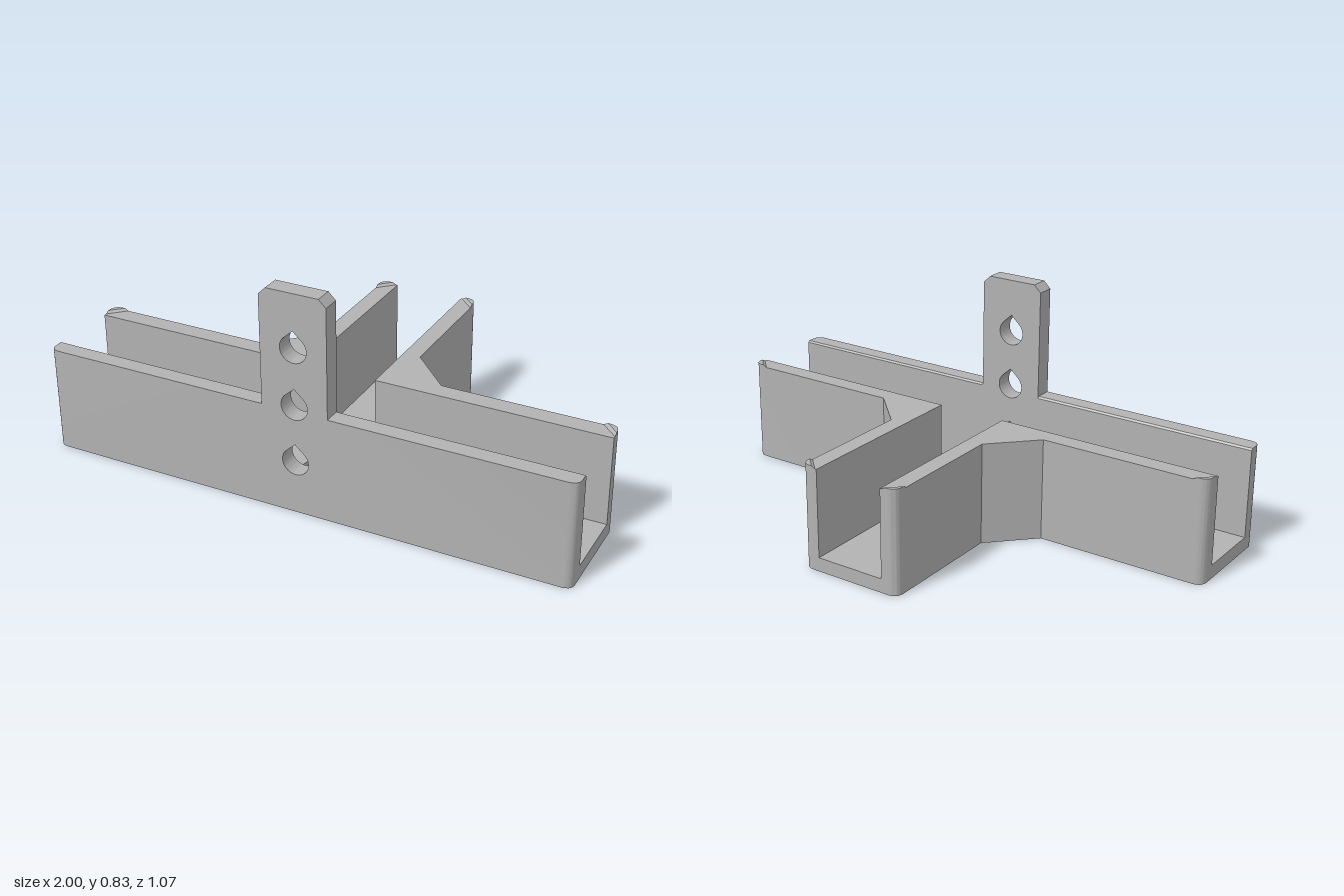
import * as THREE from 'three';
import { toCreasedNormals } from 'three/addons/utils/BufferGeometryUtils.js';

const HALF = 1, BACK = -0.533, FRONT = 0.533, FLOOR = 0.053;
const WALL_TOP = 0.387, RIM = 0.395;
const SIDE_IN = 0.135, SIDE_OUT = 0.2;      // stem channel walls
const BAR_OUT = 0.133, BAR_IN = 0.203;      // rear wall of the cross bar
const PLATE_IN = 0.465;                     // inner face of the front plate
const R = 0.04;                             // rounding of the rear corners

// Extrude a plan outline (x, -z) upwards from height y
function extrudePlan(shape, y, height) {
  const g = new THREE.ExtrudeGeometry(shape, { depth: height, bevelEnabled: false, curveSegments: 10 });
  return g.rotateX(-Math.PI / 2).translate(0, y, 0);
}

// Move every vertex by a rule
function reshape(geometry, rule) {
  const p = geometry.attributes.position, v = new THREE.Vector3();
  for (let i = 0; i < p.count; i++) {
    rule(v.fromBufferAttribute(p, i));
    p.setXYZ(i, v.x, v.y, v.z);
  }
  return geometry;
}

export function createModel() {
  const model = new THREE.Group();
  model.name = 'channelBracket';
  const grey = new THREE.MeshStandardMaterial({ color: 0xb2b2b2 });
  grey.name = 'grey';

  const add = (name, geometry) => {
    const mesh = new THREE.Mesh(toCreasedNormals(geometry, 0.6), grey);
    mesh.name = name;
    model.add(mesh);
  };

  // T-shaped floor with a round hole
  const floor = new THREE.Shape([
    [-HALF, PLATE_IN], [HALF, PLATE_IN], [HALF, BAR_IN], [SIDE_IN, BAR_IN],
    [SIDE_IN, BACK], [-SIDE_IN, BACK], [-SIDE_IN, BAR_IN], [-HALF, BAR_IN],
  ].map(([x, z]) => new THREE.Vector2(x, -z)));
  floor.holes.push(new THREE.Path().absarc(0, -0.333, 0.087, 0, Math.PI * 2, true));
  const floorGeometry = new THREE.ExtrudeGeometry(floor, { depth: FLOOR, bevelEnabled: false, curveSegments: 40 });
  add('floor', floorGeometry.rotateX(-Math.PI / 2));

  for (const s of [1, -1]) {
    const side = s > 0 ? 'left' : 'right';

    // L-shaped wall with a diagonal gusset and rounded outer corners
    const wall = new THREE.Shape();
    wall.moveTo(s * SIDE_IN, -BACK);
    wall.lineTo(s * (SIDE_OUT - R), -BACK);
    wall.quadraticCurveTo(s * SIDE_OUT, -BACK, s * SIDE_OUT, -(BACK + R));
    wall.lineTo(s * SIDE_OUT, 0.025);
    wall.lineTo(s * 0.355, -BAR_OUT);
    wall.lineTo(s * (HALF - R), -BAR_OUT);
    wall.quadraticCurveTo(s * HALF, -BAR_OUT, s * HALF, -(BAR_OUT + R));
    wall.lineTo(s * HALF, -BAR_IN);
    wall.lineTo(s * SIDE_IN, -BAR_IN);
    wall.closePath();
    add(side + 'Wall', extrudePlan(wall, 0, WALL_TOP));

    // Small raised tips with a sloped inner edge on the corners
    for (const [name, x, z] of [['StemTip', SIDE_OUT, BACK], ['BarTip', HALF, BAR_OUT]]) {
      const leg = 0.06;
      const tip = new THREE.Shape();
      tip.moveTo(s * (x - leg), -z);
      tip.lineTo(s * (x - R), -z);
      tip.quadraticCurveTo(s * x, -z, s * x, -(z + R));
      tip.lineTo(s * x, -(z + leg));
      tip.closePath();
      add(side + name, reshape(extrudePlan(tip, WALL_TOP, RIM - WALL_TOP), (v) => {
        const d = Math.abs(v.x - s * x) + Math.abs(v.z - z);
        if (v.y > 0.39 && d > 0.055) {
          v.x = s * x + (v.x - s * x) * 0.75;
          v.z = z + (v.z - z) * 0.75;
        }
      }));
    }
  }

  // Front plate with an upright tab and teardrop holes
  const plate = new THREE.Shape([
    [-HALF, 0], [HALF, 0], [HALF, RIM], [0.125, RIM], [0.125, 0.803], [0.098, 0.83],
    [-0.098, 0.83], [-0.125, 0.803], [-0.125, RIM], [-HALF, RIM],
  ].map(([x, y]) => new THREE.Vector2(x, y)));
  for (const y of [0.2, 0.413, 0.627]) {
    const hole = new THREE.Path();
    hole.absarc(0, y, 0.05, Math.PI * 0.75, Math.PI * 2.25, false);
    hole.lineTo(0, y + 0.067);
    hole.closePath();
    plate.holes.push(hole);
  }
  const depth = FRONT - PLATE_IN, r = 0.03;
  const plateGeometry = new THREE.ExtrudeGeometry(plate, { depth, steps: 12, bevelEnabled: false, curveSegments: 24 });
  reshape(plateGeometry, (v) => {
    // rounded front ends and a fine chamfer on the inner rim
    const t = v.z - (depth - r);
    if (Math.abs(v.x) > 0.99 && t > 0) {
      v.x = Math.sign(v.x) * (HALF - r + Math.sqrt(Math.max(0, r * r - t * t)));
    }
    if (v.z < 1e-4 && Math.abs(v.y - RIM) < 1e-4 && Math.abs(v.x) > 0.12) v.y -= 0.007;
  });
  add('frontPlate', plateGeometry.translate(0, 0, PLATE_IN));

  return model;
}
